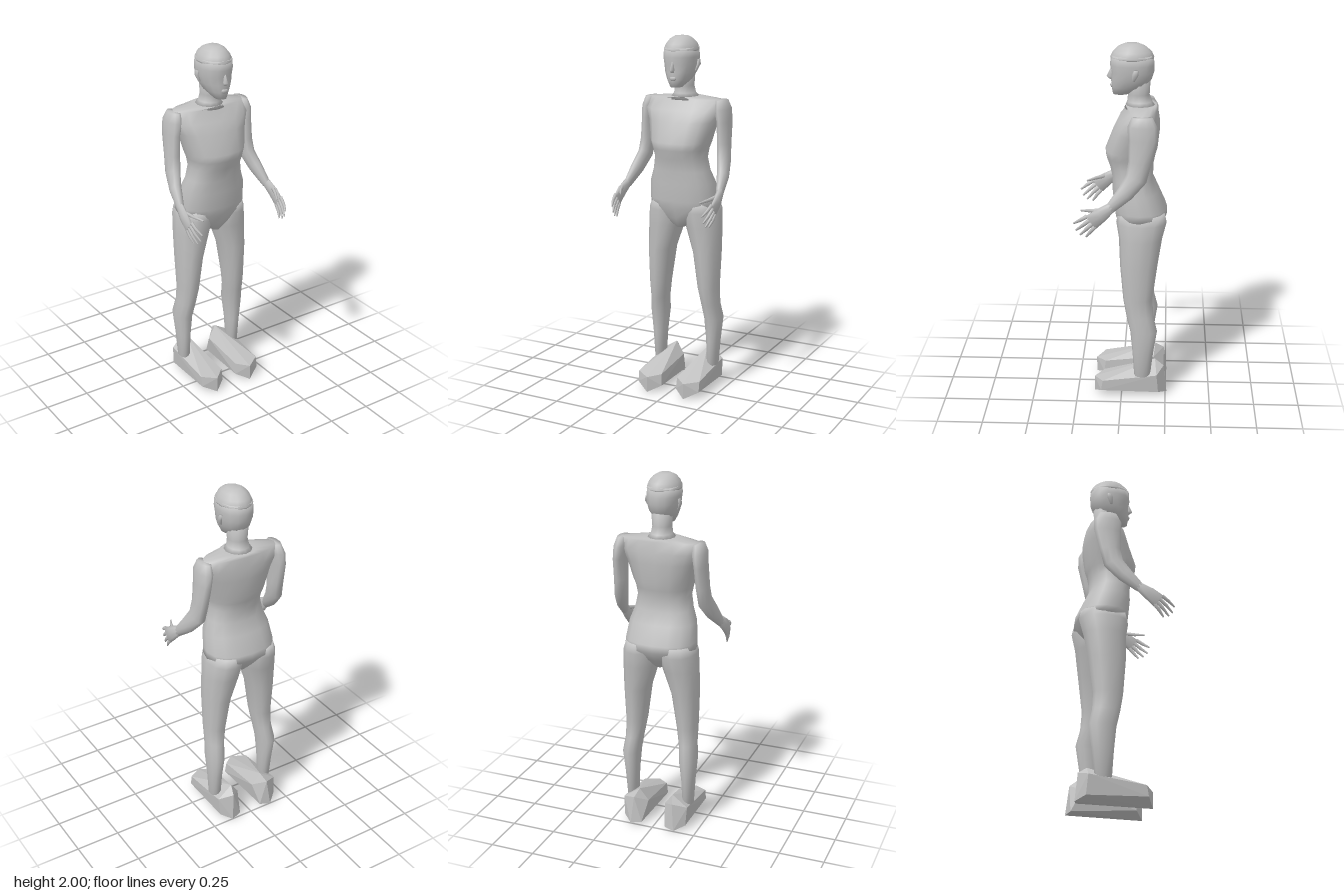
import * as THREE from 'three';
import { ConvexGeometry } from 'three/addons/geometries/ConvexGeometry.js';

const skin = new THREE.MeshStandardMaterial({ color: 0xc0c0c0 });
skin.name = 'plain grey';

// Upright ring given by its front and back depth
const span = (y, rx, zFront, zBack, x = 0) => ({ x, y, z: (zFront + zBack) / 2, rx, rz: (zFront - zBack) / 2, tilt: 0 });
// Ring around a limb, leaning forward by tilt
const ring = (x, y, z, rx, rz, tilt = 0) => ({ x, y, z, rx, rz, tilt });

// Smooth skin over rings listed from top to bottom, closed at both ends
function loft(name, rings, sides = 12, power = 2, s = 1) {
  const pos = [], idx = [];
  const bend = (v) => Math.sign(v) * Math.pow(Math.abs(v), 2 / power);
  for (const r of rings) {
    for (let i = 0; i < sides; i++) {
      const a = (i / sides) * Math.PI * 2;
      const u = bend(Math.sin(a)) * r.rx, v = bend(Math.cos(a)) * r.rz;
      pos.push(r.x * s + u, r.y + v * Math.sin(r.tilt), r.z + v * Math.cos(r.tilt));
    }
  }
  for (let k = 0; k < rings.length - 1; k++) {
    for (let i = 0; i < sides; i++) {
      const a = k * sides + i, b = k * sides + (i + 1) % sides;
      idx.push(a, a + sides, b, b, a + sides, b + sides);
    }
  }
  const last = (rings.length - 1) * sides, top = pos.length / 3;
  for (const r of [rings[0], rings[rings.length - 1]]) pos.push(r.x * s, r.y, r.z);
  for (let i = 0; i < sides; i++) {
    const j = (i + 1) % sides;
    idx.push(top, i, j, top + 1, last + j, last + i);
  }
  const g = new THREE.BufferGeometry();
  g.setAttribute('position', new THREE.Float32BufferAttribute(pos, 3));
  g.setIndex(idx);
  g.computeVertexNormals();
  const mesh = new THREE.Mesh(g, skin);
  mesh.name = name;
  return mesh;
}

function makeHead() {
  const head = new THREE.Group();
  head.name = 'head';
  head.add(loft('scalp', [
    span(2.0, 0.035, -0.01, -0.09), span(1.985, 0.06, 0.025, -0.125),
    span(1.96, 0.08, 0.05, -0.155), span(1.93, 0.092, 0.065, -0.168), span(1.92, 0.088, 0.06, -0.165),
  ], 14));
  head.add(loft('face', [
    span(1.94, 0.087, 0.06, -0.163), span(1.89, 0.09, 0.066, -0.17), span(1.85, 0.086, 0.058, -0.168),
    span(1.81, 0.078, 0.06, -0.155), span(1.77, 0.06, 0.058, -0.125), span(1.73, 0.03, 0.05, -0.03),
  ], 14, 2.2));
  head.add(loft('nose', [
    ring(0, 1.87, 0.052, 0.006, 0.01), ring(0, 1.825, 0.06, 0.013, 0.024), ring(0, 1.81, 0.057, 0.01, 0.012),
  ], 6));
  head.add(loft('lips', [
    ring(0, 1.788, 0.053, 0.015, 0.008), ring(0, 1.778, 0.055, 0.022, 0.011), ring(0, 1.767, 0.052, 0.013, 0.009),
  ], 8));
  for (const s of [1, -1]) {
    head.add(loft('ear', [
      ring(0.092, 1.875, -0.075, 0.006, 0.014), ring(0.094, 1.85, -0.07, 0.009, 0.017), ring(0.082, 1.815, -0.06, 0.006, 0.008),
    ], 6, 2, s));
  }
  head.add(loft('neck', [
    span(1.82, 0.06, -0.02, -0.15), span(1.73, 0.052, -0.03, -0.145),
    span(1.69, 0.058, -0.025, -0.16), span(1.655, 0.09, -0.01, -0.185),
  ]));
  return head;
}

function makeArm(s) {
  const arm = new THREE.Group();
  arm.name = s > 0 ? 'leftArm' : 'rightArm';
  arm.add(loft('upperArmAndForearm', [
    ring(0.215, 1.658, -0.11, 0.028, 0.055), ring(0.222, 1.61, -0.112, 0.038, 0.078),
    ring(0.23, 1.54, -0.115, 0.033, 0.076), ring(0.235, 1.42, -0.1, 0.036, 0.06, 0.1),
    ring(0.243, 1.335, -0.082, 0.036, 0.058, 0.4), ring(0.264, 1.26, -0.025, 0.033, 0.046, 0.75),
    ring(0.283, 1.18, 0.055, 0.02, 0.028, 0.9),
  ], 10, 2, s));
  arm.add(loft('palm', [
    ring(0.283, 1.19, 0.045, 0.019, 0.027, 0.9), ring(0.293, 1.145, 0.105, 0.017, 0.04, 0.9),
    ring(0.293, 1.105, 0.155, 0.011, 0.045, 0.9),
  ], 8, 2, s));
  // Four fingers fanning out, then the thumb: base and tip
  const digits = [
    [0.292, 1.138, 0.176, 0.272, 1.09, 0.25], [0.293, 1.118, 0.162, 0.274, 1.052, 0.238],
    [0.293, 1.1, 0.147, 0.278, 1.028, 0.215], [0.293, 1.084, 0.133, 0.281, 1.018, 0.184],
    [0.286, 1.17, 0.11, 0.24, 1.152, 0.213],
  ];
  digits.forEach(([x, y, z, tx, ty, tz], i) => {
    const t = Math.atan2(tz - z, y - ty);
    const mid = ring((x + tx) / 2 + 0.004, (y + ty) / 2, (z + tz) / 2, 0.008, 0.01, t);
    arm.add(loft(i < 4 ? 'finger' : 'thumb',
      [ring(x, y, z, 0.009, 0.012, t), mid, ring(tx, ty, tz, 0.004, 0.005, t)], 6, 2, s));
  });
  return arm;
}

function makeLeg(s) {
  const leg = new THREE.Group();
  leg.name = s > 0 ? 'leftLeg' : 'rightLeg';
  leg.add(loft('thighAndShin', [
    span(1.09, 0.085, 0.02, -0.235, 0.105), span(1.04, 0.1, 0.03, -0.245, 0.106), span(0.95, 0.097, 0.015, -0.222, 0.116),
    span(0.8, 0.073, 0.008, -0.198, 0.141), span(0.6, 0.057, -0.01, -0.172, 0.152),
    span(0.5, 0.048, -0.028, -0.178, 0.16), span(0.41, 0.049, -0.05, -0.2, 0.17),
    span(0.28, 0.037, -0.063, -0.18, 0.17), span(0.13, 0.03, -0.073, -0.163, 0.168),
  ], 12, 2.1, s));
  // Blunt faceted shoe: toe corners, then heel corners
  const corners = [
    [0.115, 0, 0.155], [0.115, 0.09, 0.155], [0.045, 0.035, 0.108], [0.05, 0.1, 0.1],
    [0.192, 0.04, 0.115], [0.192, 0.1, 0.105],
    [0.1, 0.2, -0.19], [0.05, 0.13, -0.18], [0.192, 0.14, -0.2], [0.115, 0.165, -0.24],
    [0.13, 0.008, -0.258], [0.07, 0.015, -0.24], [0.185, 0.03, -0.21],
  ];
  const foot = new THREE.Mesh(new ConvexGeometry(corners.map(([x, y, z]) => new THREE.Vector3(x * s, y, z))), skin);
  foot.name = 'foot';
  leg.add(foot);
  return leg;
}

export function createModel() {
  const model = new THREE.Group();
  model.name = 'standingFigure';
  model.add(makeHead());
  model.add(loft('torso', [
    span(1.672, 0.085, -0.015, -0.185), span(1.66, 0.215, -0.03, -0.19), span(1.6, 0.225, 0.02, -0.2),
    span(1.54, 0.198, 0.05, -0.202), span(1.43, 0.17, 0.092, -0.19), span(1.39, 0.156, 0.088, -0.178),
    span(1.34, 0.147, 0.07, -0.168), span(1.27, 0.162, 0.055, -0.168), span(1.2, 0.187, 0.055, -0.2),
    span(1.1, 0.198, 0.045, -0.245), span(1.06, 0.2, 0.04, -0.247), span(1.0, 0.12, 0.018, -0.2),
    span(0.945, 0.03, -0.01, -0.15),
  ], 16, 2.3));
  for (const s of [1, -1]) model.add(makeArm(s), makeLeg(s));
  return model;
}
